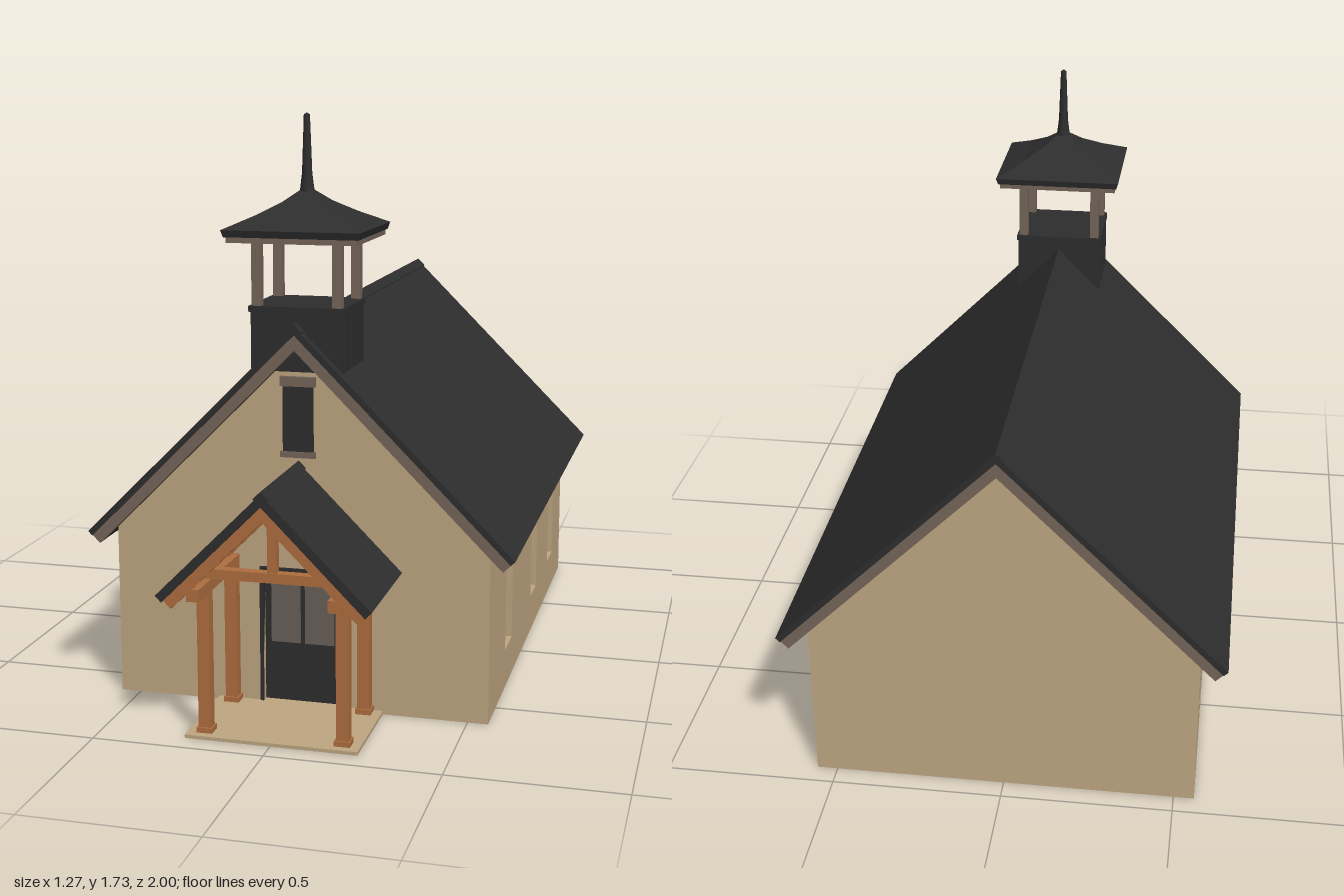
import * as THREE from 'three';

const mat = (name, color) => {
  const m = new THREE.MeshStandardMaterial({ color });
  m.name = name;
  return m;
};

export function createModel() {
  const roofing = mat('charcoal roofing', 0x2e2e2e);
  const plaster = mat('tan wall', 0xc0a782);
  const trim = mat('grey brown trim', 0x75665a);
  const timber = mat('orange timber', 0xb06f40);
  const glass = mat('window glass', 0x6a6058);

  const model = new THREE.Group();
  model.name = 'chapel';

  const add = (name, geometry, material, parent = model) => {
    const mesh = new THREE.Mesh(geometry, material);
    mesh.name = name;
    parent.add(mesh);
    return mesh;
  };
  // Box given by its minimum and maximum on each axis
  const box = (name, material, x0, x1, y0, y1, z0, z1, parent) => {
    const mesh = add(name, new THREE.BoxGeometry(x1 - x0, y1 - y0, z1 - z0), material, parent);
    mesh.position.set((x0 + x1) / 2, (y0 + y1) / 2, (z0 + z1) / 2);
    return mesh;
  };
  const shapeOf = (pts) => new THREE.Shape(pts.map(([x, y]) => new THREE.Vector2(x, y)));
  const extrude = (shape, depth) => new THREE.ExtrudeGeometry(shape, { depth, bevelEnabled: false });
  // 45 degree inverted V with square-cut ends; t is the vertical thickness
  const chevron = (name, material, top, w, t, z0, z1, parent) => {
    const h = t / 2;
    const shape = shapeOf([
      [w, top - w], [0, top], [-w, top - w],
      [-w + h, top - w - h], [0, top - t], [w - h, top - w - h],
    ]);
    const mesh = add(name, extrude(shape, z1 - z0), material, parent);
    mesh.position.z = z0;
    return mesh;
  };

  // Gable walls; the front one is notched for the door
  const eave = [[0.56, 0.515], [0, 1.075], [-0.56, 0.515], [-0.56, 0]];
  const backWall = add('backWall', extrude(shapeOf([[0.56, 0], ...eave]), 0.03), plaster);
  backWall.position.z = -0.94;
  const notch = [[-0.11, 0], [-0.11, 0.42], [0.12, 0.42], [0.12, 0]];
  const frontWall = add('frontWall', extrude(shapeOf([[0.56, 0], ...eave, ...notch]), 0.03), plaster);
  frontWall.position.z = 0.6;

  // Side walls with three recessed windows each
  const windows = [0.27, -0.263, -0.67];
  const side = shapeOf([[-0.6, 0], [0.91, 0], [0.91, 0.53], [-0.6, 0.53]]);
  for (const z of windows) {
    side.holes.push(shapeOf([[-z - 0.064, 0.12], [-z - 0.064, 0.47], [-z + 0.064, 0.47], [-z + 0.064, 0.12]]));
  }
  const sideGeometry = extrude(side, 0.03).rotateY(Math.PI / 2);
  for (const s of [1, -1]) {
    const wall = add(s > 0 ? 'leftWall' : 'rightWall', sideGeometry, plaster);
    wall.position.x = s > 0 ? 0.53 : -0.56;
    for (const z of windows) {
      const pane = box('windowPane', glass, -0.003, 0.003, 0.11, 0.48, z - 0.07, z + 0.07);
      pane.position.x = s * 0.535;
    }
  }
  box('floor', plaster, -0.555, 0.555, 0, 0.01, -0.935, 0.625);

  // Main roof: dark covering, brown gable overhangs, ridge cap
  chevron('roofCovering', roofing, 1.14, 0.637, 0.025, -1, 0.675);
  chevron('roofDeck', roofing, 1.116, 0.625, 0.045, -0.94, 0.63);
  chevron('backBargeBoard', trim, 1.116, 0.625, 0.046, -0.996, -0.94);
  chevron('frontBargeBoard', trim, 1.116, 0.625, 0.046, 0.63, 0.671);
  chevron('ridgeCap', roofing, 1.146, 0.024, 0.02, -1, 0.675);

  // Door with two panes and a slim frame
  const door = new THREE.Group();
  door.name = 'door';
  model.add(door);
  box('doorLeaf', roofing, -0.11, 0.12, 0.005, 0.42, 0.6, 0.612, door);
  box('doorPane', glass, -0.09, -0.002, 0.19, 0.37, 0.612, 0.617, door);
  box('doorPane', glass, 0.012, 0.1, 0.19, 0.37, 0.612, 0.617, door);
  for (const x of [-0.115, 0.115]) box('doorJamb', roofing, x - 0.005, x + 0.005, 0.01, 0.42, 0.6, 0.636, door);
  box('doorHead', roofing, -0.12, 0.12, 0.41, 0.422, 0.6, 0.636, door);

  // Louvred opening in the front gable
  box('gableLouvre', roofing, -0.045, 0.045, 0.77, 0.965, 0.63, 0.638);
  box('louvreHead', trim, -0.052, 0.052, 0.962, 0.99, 0.63, 0.643);
  box('louvreSill', trim, -0.052, 0.052, 0.755, 0.772, 0.63, 0.643);

  // Porch
  const porch = new THREE.Group();
  porch.name = 'porch';
  model.add(porch);
  box('porchSlab', plaster, -0.25, 0.25, 0, 0.01, 0.62, 0.935, porch);
  chevron('porchRoof', roofing, 0.738, 0.305, 0.036, 0.62, 1, porch);
  chevron('porchRidgeCap', roofing, 0.745, 0.022, 0.02, 0.62, 1, porch);
  for (const z of [0.65, 0.89, 0.975]) {
    chevron('porchRafters', timber, 0.703, 0.285, 0.045, z - 0.016, z + 0.016, porch);
  }
  for (const s of [-1, 1]) {
    for (const z of [0.65, 0.89]) {
      box('porchPost', timber, s * 0.2 - 0.018, s * 0.2 + 0.018, 0.01, 0.43, z - 0.017, z + 0.017, porch);
      box('postFoot', timber, s * 0.2 - 0.023, s * 0.2 + 0.023, 0.01, 0.025, z - 0.022, z + 0.022, porch);
      box('postArm', timber, s * 0.235 - 0.05, s * 0.235 + 0.05, 0.41, 0.435, z - 0.015, z + 0.015, porch);
    }
    box('porchPlate', timber, s * 0.2 - 0.018, s * 0.2 + 0.018, 0.42, 0.455, 0.63, 0.99, porch);
  }
  box('tieBeam', timber, -0.21, 0.21, 0.462, 0.49, 0.875, 0.905, porch);
  box('kingPost', timber, -0.013, 0.013, 0.48, 0.67, 0.877, 0.903, porch);

  // Bell tower
  const tower = new THREE.Group();
  tower.name = 'bellTower';
  tower.position.z = 0.526;
  model.add(tower);
  box('towerBase', roofing, -0.135, 0.135, 1.005, 1.18, -0.118, 0.118, tower);
  box('towerFloor', roofing, -0.14, 0.14, 1.172, 1.19, -0.124, 0.124, tower);
  for (const s of [-1, 1]) {
    for (const c of [-0.1, -0.035, 0.035, 0.1]) {
      box('batten', roofing, s * 0.136 - 0.003, s * 0.136 + 0.003, 1.005, 1.172, c - 0.004, c + 0.004, tower);
    }
    for (const z of [-0.105, 0.105]) {
      box('towerPost', trim, s * 0.118 - 0.014, s * 0.118 + 0.014, 1.19, 1.38, z - 0.013, z + 0.013, tower);
    }
  }
  box('towerSoffit', trim, -0.188, 0.188, 1.372, 1.394, -0.172, 0.172, tower);

  // Flared four-sided cap and its spire
  const profile = [[0, 1.388], [0.194, 1.388], [0.2, 1.408], [0.12, 1.445], [0.06, 1.478], [0.015, 1.512]];
  const capGeometry = new THREE.LatheGeometry(
    profile.map(([r, y]) => new THREE.Vector2(r * Math.SQRT2, y)), 4, Math.PI / 4,
  ).toNonIndexed();
  capGeometry.scale(1, 1, 0.92);
  capGeometry.computeVertexNormals();
  add('towerCap', capGeometry, roofing, tower);
  const spire = [[0.024, 1.49], [0.02, 1.52], [0.015, 1.56], [0.009, 1.722], [0, 1.728]];
  add('spire', new THREE.LatheGeometry(spire.map(([r, y]) => new THREE.Vector2(r, y)), 12), roofing, tower);

  return model;
}
